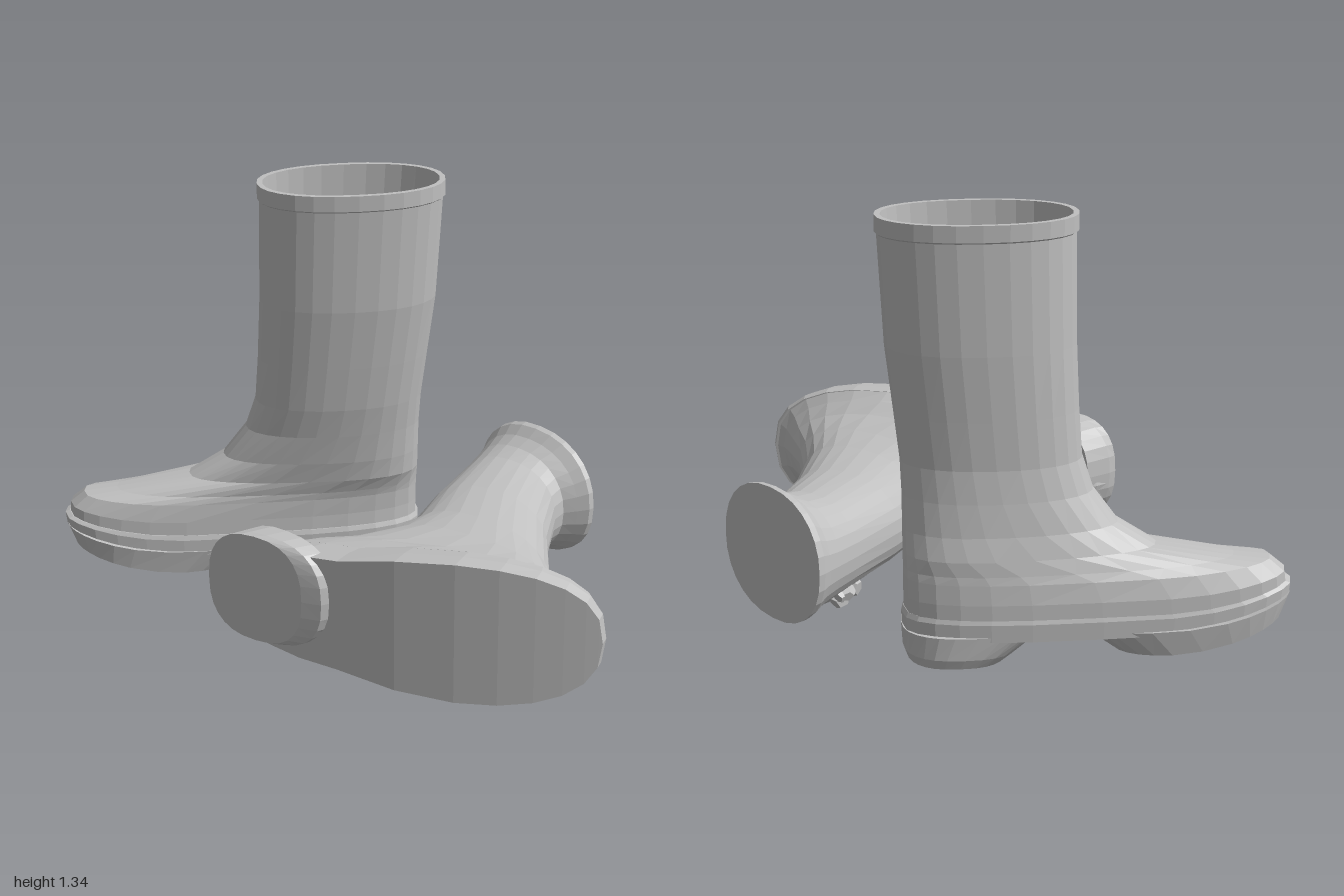
import * as THREE from 'three';

const SEG = 28;
const rubber = new THREE.MeshStandardMaterial({ color: 0xc0c0c0 });
rubber.name = 'grey rubber';
const V = (x, y, z) => new THREE.Vector3(x, y, z);

// Rounded cross-section running from back point a to front point b.
// w: half width along side, cv: sideways offset, e: squareness,
// taper: extra width at the front, waist: pinch at the arch, bulge: rocker
function ring(a, b, side, { w, cv = 0, e = 0.9, taper = 0, waist = 0, bulge = 0 }) {
  const half = b.clone().sub(a).multiplyScalar(0.5);
  const mid = a.clone().add(half).addScaledVector(side, cv);
  const normal = half.clone().cross(side).normalize();
  const power = (n) => Math.sign(n) * Math.pow(Math.abs(n), e);
  const points = [];
  for (let j = 0; j < SEG; j++) {
    const t = (j / SEG) * Math.PI * 2;
    const c = power(Math.cos(t)), s = power(Math.sin(t));
    const width = w * (1 + taper * c) * (1 - waist * Math.exp(-(((c + 0.3) / 0.25) ** 2)));
    points.push(mid.clone().addScaledVector(half, c).addScaledVector(side, width * s)
      .addScaledVector(normal, bulge * (1 - c * c)));
  }
  points.centre = mid.clone().addScaledVector(normal, bulge);
  return points;
}

// Skin between rings with both ends capped, faceted normals
function loft(name, rings, warp) {
  const pos = [];
  const tri = (...pts) => pts.forEach((p) => {
    const q = p.clone();
    if (warp) warp(q);
    pos.push(q.x, q.y, q.z);
  });
  const last = rings[rings.length - 1];
  // caps are strips across the outline, so a rocker sole stays curved one way
  const cap = (r, flip) => {
    for (let j = 0; j < SEG / 2; j++) {
      const a = r[j], b = r[j + 1], c = r[SEG - 1 - j], d = r[(SEG - j) % SEG];
      if (flip) { tri(a, c, b); tri(a, d, c); } else { tri(a, b, c); tri(a, c, d); }
    }
  };
  for (let j = 0; j < SEG; j++) {
    const k = (j + 1) % SEG;
    for (let i = 0; i < rings.length - 1; i++) {
      const r = rings[i], n = rings[i + 1];
      tri(r[j], r[k], n[k]);
      tri(r[j], n[k], n[j]);
    }
  }
  cap(rings[0], true);
  cap(last, false);
  const geo = new THREE.BufferGeometry();
  geo.setAttribute('position', new THREE.Float32BufferAttribute(pos, 3));
  geo.computeVertexNormals();
  const mesh = new THREE.Mesh(geo, rubber);
  mesh.name = name;
  return mesh;
}

// Upright boot: level rings of [y, back, front, half width, offset, squareness, taper]
function standingBoot() {
  const boot = new THREE.Group();
  boot.name = 'standingBoot';
  const side = V(1, 0, 0);
  const toeSpring = (p) => {
    if (p.z > 0.6 && p.y < 0.35) p.y += 0.65 * (p.z - 0.6) ** 2 * (1 - p.y / 0.35);
  };
  const part = (name, rows) => boot.add(loft(name, rows.map(([y, back, front, w, cv, e, taper]) =>
    ring(V(0, y, back), V(0, y, front), side, { w, cv, e, taper })), toeSpring));

  part('upper', [
    [0.12, -0.165, 1.0, 0.153, -0.01, 0.68, -0.1],
    [0.2, -0.168, 0.995, 0.15, -0.01, 0.68, -0.1],
    [0.26, -0.168, 0.95, 0.143, -0.005, 0.7, -0.17],
    [0.285, -0.168, 0.84, 0.14, 0, 0.74, -0.22],
    [0.33, -0.168, 0.6, 0.145, 0.01, 0.78, -0.2],
    [0.4, -0.168, 0.485, 0.147, 0.025, 0.85, -0.12],
    [0.5, -0.168, 0.41, 0.15, 0.04, 0.9, -0.05],
    [0.6, -0.172, 0.378, 0.154, 0.055, 0.9, 0],
    [0.75, -0.19, 0.368, 0.164, 0.063, 0.9, 0],
    [0.95, -0.215, 0.36, 0.177, 0.072, 0.9, 0],
    [1.285, -0.235, 0.355, 0.182, 0.08, 0.9, 0],
    // rim band, then down the inside
    [1.29, -0.242, 0.362, 0.188, 0.08, 0.9, 0],
    [1.34, -0.242, 0.362, 0.188, 0.08, 0.9, 0],
    [1.34, -0.224, 0.344, 0.17, 0.08, 0.9, 0],
    [0.95, -0.195, 0.34, 0.157, 0.072, 0.9, 0],
    [0.5, -0.145, 0.385, 0.13, 0.04, 0.9, 0],
  ]);
  part('sole', [
    [0.085, -0.172, 1.01, 0.157, -0.008, 0.68, -0.1],
    [0.14, -0.175, 1.015, 0.158, -0.008, 0.68, -0.1],
    [0.155, -0.168, 1.0, 0.153, -0.008, 0.68, -0.1],
  ]);
  part('forefootTread', [
    [0.02, 0.46, 0.985, 0.143, -0.01, 0.7, -0.08],
    [0.1, 0.35, 1.01, 0.156, -0.01, 0.7, -0.08],
  ]);
  part('heel', [
    [0, -0.158, 0.14, 0.152, 0, 0.78, 0],
    [0.03, -0.17, 0.18, 0.162, 0, 0.78, 0],
    [0.1, -0.175, 0.27, 0.164, 0, 0.75, 0],
  ]);
  boot.rotation.y = -0.6;
  boot.position.set(-0.36, 0, -0.27);
  return boot;
}

// Boot lying on its side: rows of [back x, back z, front x, front z, options]
function lyingBoot() {
  const boot = new THREE.Group();
  boot.name = 'lyingBoot';
  const side = V(0, 1, 0);
  const part = (name, rows) => boot.add(loft(name, rows.map(([ax, az, bx, bz, options]) =>
    ring(V(ax, 0, az), V(bx, 0, bz), side, options))));

  const shape = { w: 0.218, cv: 0.27, e: 0.8, taper: 0.2, waist: 0.1 };
  part('upper', [
    [-0.165, -0.645, 0.34, -0.635, { w: 0.213, cv: 0.273 }],
    [-0.16, -0.62, 0.34, -0.615, { w: 0.21, cv: 0.273 }],
    [-0.14, -0.585, 0.315, -0.585, { w: 0.188, cv: 0.268 }],
    [-0.115, -0.53, 0.285, -0.55, { w: 0.172, cv: 0.263 }],
    [-0.08, -0.44, 0.295, -0.5, { w: 0.163, cv: 0.26 }],
    [0.01, -0.2, 0.43, -0.32, { w: 0.16, cv: 0.26 }],
    [0.09, -0.03, 0.62, -0.13, { w: 0.162, cv: 0.26 }],
    [0.1, 0.1, 0.77, -0.035, { w: 0.168, cv: 0.26, e: 0.85, bulge: 0.01 }],
    [0.06, 0.3, 0.87, 0.0, { w: 0.18, cv: 0.265, e: 0.8, bulge: 0.03 }],
    [-0.02, 0.42, 0.92, 0.01, { w: 0.2, cv: 0.27, e: 0.8, taper: 0.1, bulge: 0.05 }],
    [-0.07, 0.5, 0.95, 0.005, { ...shape, bulge: 0.07 }],
  ]);
  part('sole', [
    [-0.07, 0.5, 0.955, 0.0, { ...shape, bulge: 0.07 }],
    [-0.083, 0.56, 0.98, 0.015, { ...shape, w: 0.222, bulge: 0.085 }],
    [-0.082, 0.615, 0.998, 0.05, { ...shape, bulge: 0.097 }],
  ]);
  part('heel', [
    [-0.08, 0.52, 0.32, 0.48, { w: 0.172, cv: 0.305, e: 0.8 }],
    [-0.085, 0.615, 0.305, 0.53, { w: 0.177, cv: 0.305, e: 0.8 }],
    [-0.08, 0.645, 0.25, 0.56, { w: 0.174, cv: 0.305, e: 0.8 }],
  ]);

  // Crumbs of dirt stuck to the underside, in two clusters
  let seed = 7;
  const rnd = (lo, hi) => {
    seed = (seed * 16807) % 2147483647;
    return lo + (hi - lo) * (seed / 2147483647);
  };
  const crumbs = new THREE.Group();
  crumbs.name = 'crumbs';
  const cluster = (count, x0, x1, z0, z1) => {
    for (let i = 0; i < count; i++) {
      const crumb = new THREE.Mesh(new THREE.DodecahedronGeometry(rnd(0.025, 0.042)), rubber);
      crumb.name = 'crumb';
      crumb.position.set(rnd(x0, x1), rnd(0.1, 0.135), rnd(z0, z1));
      crumb.rotation.set(rnd(0, 3), rnd(0, 3), rnd(0, 3));
      crumb.scale.set(1, rnd(0.5, 1), 1);
      crumbs.add(crumb);
    }
  };
  cluster(16, -0.02, 0.26, -0.5, -0.36);
  cluster(18, 0.42, 0.74, -0.03, 0.06);
  boot.add(crumbs);
  return boot;
}

export function createModel() {
  const model = new THREE.Group();
  model.name = 'pairOfBoots';
  model.add(standingBoot(), lyingBoot());
  return model;
}
